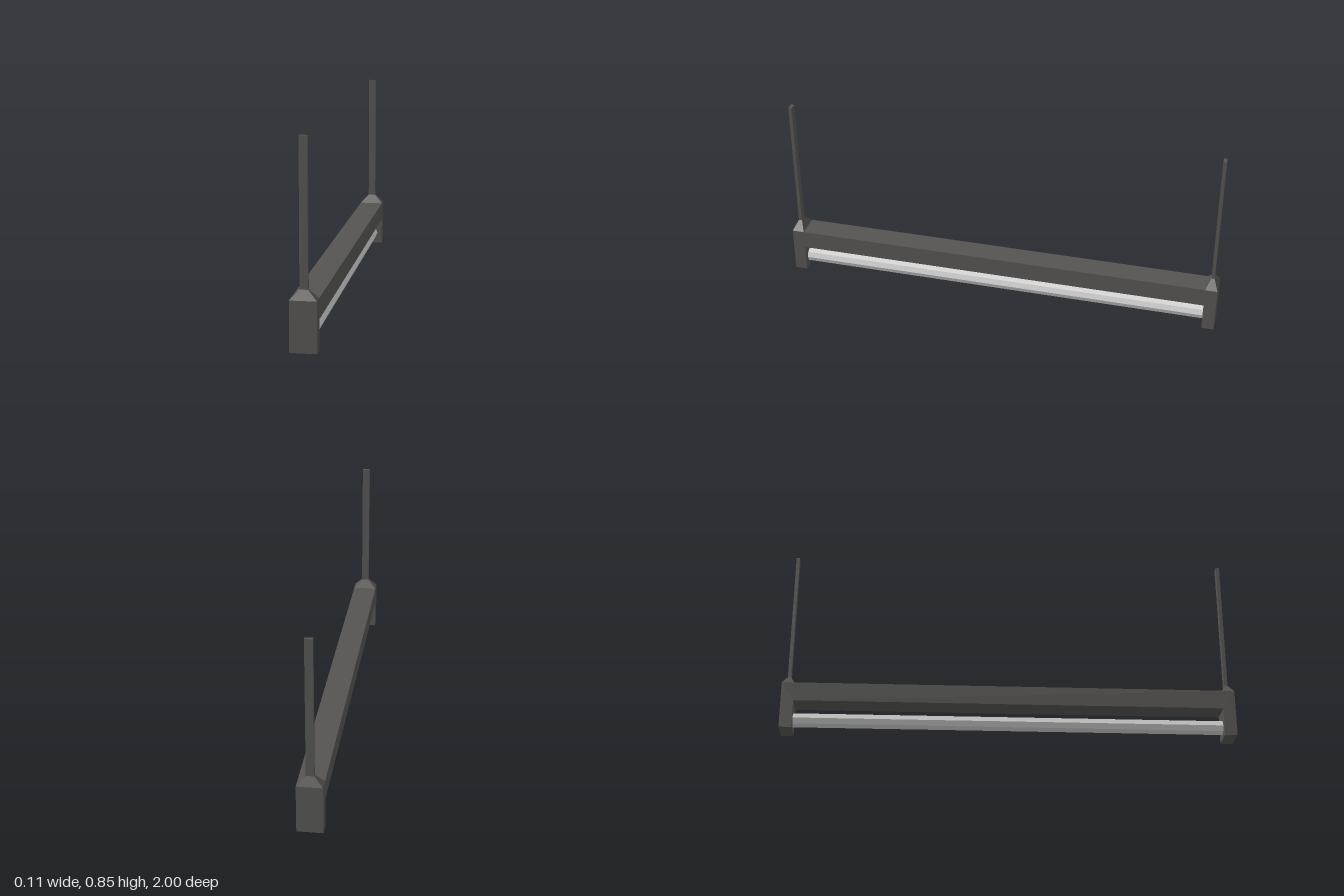
import * as THREE from 'three';

export function createModel() {
  const model = new THREE.Group();
  const dark = new THREE.MeshStandardMaterial({ color: 0x555452, flatShading: true });
  const grey = new THREE.MeshStandardMaterial({ color: 0xcccccc, flatShading: true });

  const halfWidth = 0.055;
  const endDepth = 0.055;
  const bodyTop = 0.21;
  const barBottom = 0.125;
  const collarTop = 0.25;
  const rodTop = 0.85;
  const rodWidth = 0.034;
  const rodDepth = 0.015;

  function add(parent, name, geometry, material, x, y, z) {
    const mesh = new THREE.Mesh(geometry, material);
    mesh.name = name;
    mesh.position.set(x, y, z);
    parent.add(mesh);
    return mesh;
  }

  // Housing: a bridge-shaped side profile extruded across the width
  const inner = 1 - endDepth;
  const profile = new THREE.Shape([
    [-1, 0], [-inner, 0], [-inner, barBottom], [inner, barBottom],
    [inner, 0], [1, 0], [1, bodyTop], [-1, bodyTop],
  ].map(([z, y]) => new THREE.Vector2(z, y)));
  const housing = new THREE.ExtrudeGeometry(profile, { depth: halfWidth * 2, bevelEnabled: false });
  housing.translate(0, 0, -halfWidth);
  housing.rotateY(-Math.PI / 2);
  add(model, 'housing', housing, dark, 0, 0, 0);

  // Octagonal light tube between the end blocks
  const tube = new THREE.CylinderGeometry(0.033, 0.033, inner * 2, 8);
  tube.rotateX(Math.PI / 2);
  add(model, 'lightTube', tube, grey, 0, 0.053, 0);

  // Tapered collar: a box whose top corners are drawn in to the rod
  const collarHeight = collarTop - bodyTop;
  const collar = new THREE.BoxGeometry(halfWidth * 2, collarHeight, endDepth);
  const pos = collar.attributes.position;
  for (let i = 0; i < pos.count; i++) {
    if (pos.getY(i) > 0) {
      pos.setX(i, Math.sign(pos.getX(i)) * rodWidth / 2);
      pos.setZ(i, Math.sign(pos.getZ(i)) * rodDepth / 2);
    }
  }
  collar.computeVertexNormals();

  // Hanging rods at both ends
  const rodHeight = rodTop - collarTop;
  const rod = new THREE.BoxGeometry(rodWidth, rodHeight, rodDepth);
  for (const [name, side] of [['frontHanger', 1], ['backHanger', -1]]) {
    const hanger = new THREE.Group();
    hanger.name = name;
    hanger.position.z = side * (1 - endDepth / 2);
    add(hanger, 'collar', collar, dark, 0, bodyTop + collarHeight / 2, 0);
    add(hanger, 'rod', rod, dark, 0, collarTop + rodHeight / 2, 0);
    model.add(hanger);
  }

  return model;
}
